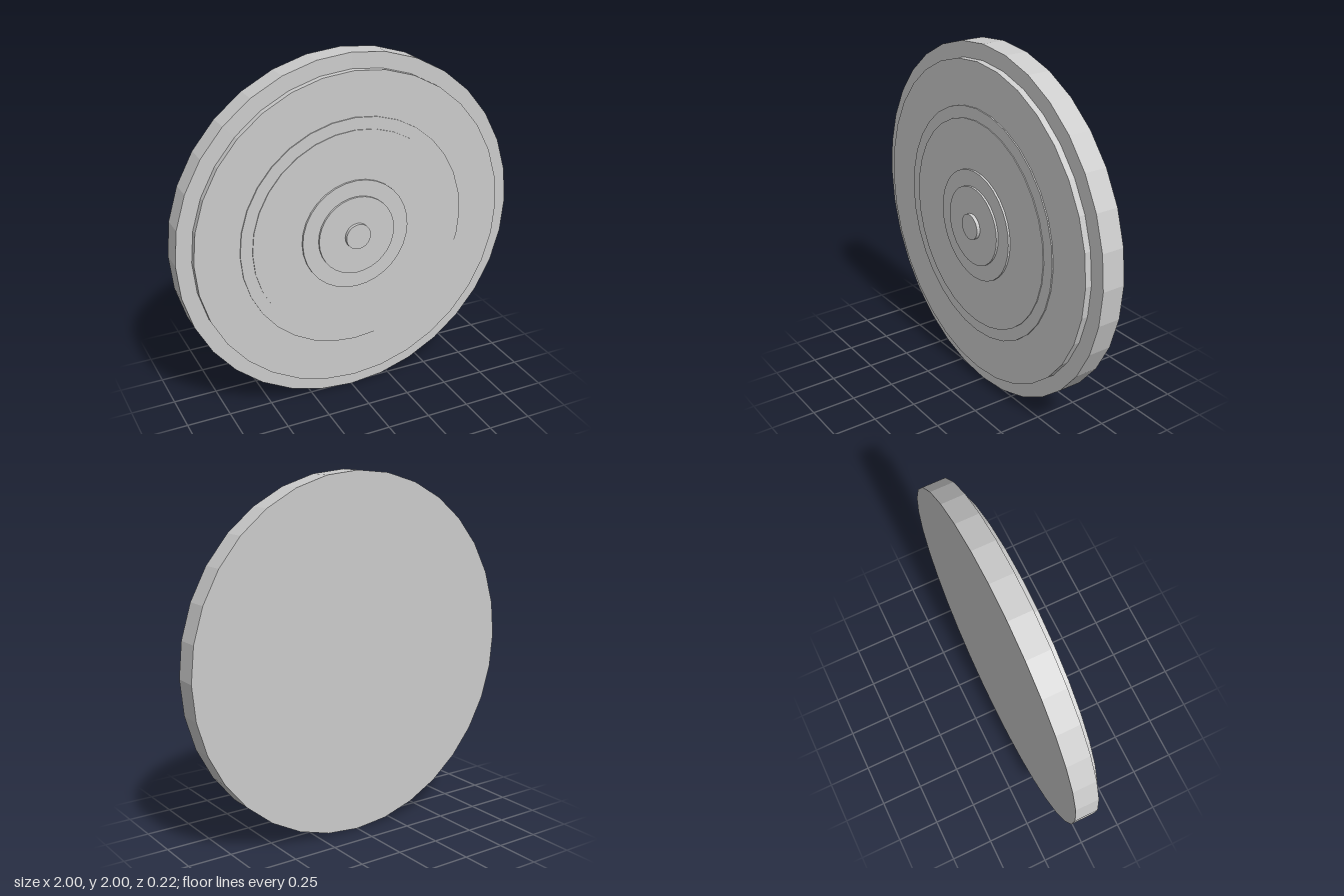
import * as THREE from 'three';

export function createModel() {
  const group = new THREE.Group();
  group.name = 'steppedDisc';
  const material = new THREE.MeshStandardMaterial({ color: 0xcccccc, flatShading: true });

  // A 32-sided disc facing +z, with its faces at zBack and zFront
  function addDisc(name, radius, zBack, zFront) {
    const geometry = new THREE.CylinderGeometry(radius, radius, zFront - zBack, 32);
    geometry.rotateX(Math.PI / 2);
    const mesh = new THREE.Mesh(geometry, material);
    mesh.name = name;
    mesh.position.set(0, 1, (zBack + zFront) / 2);
    group.add(mesh);
  }

  // Each step: name, radius, front face z; stacked from the back forwards
  const steps = [
    ['baseDisc', 1, 0.02],
    ['rimStep', 0.913, 0.056],
    ['outerFaceStep', 0.664, 0.063],
    ['innerFaceStep', 0.597, 0.068],
    ['hubPlate', 0.317, 0.08],
    ['hubStep', 0.226, 0.092],
    ['centreButton', 0.073, 0.112],
  ];
  let back = -0.112;
  for (const [name, radius, front] of steps) {
    addDisc(name, radius, back, front);
    back = front;
  }
  return group;
}
